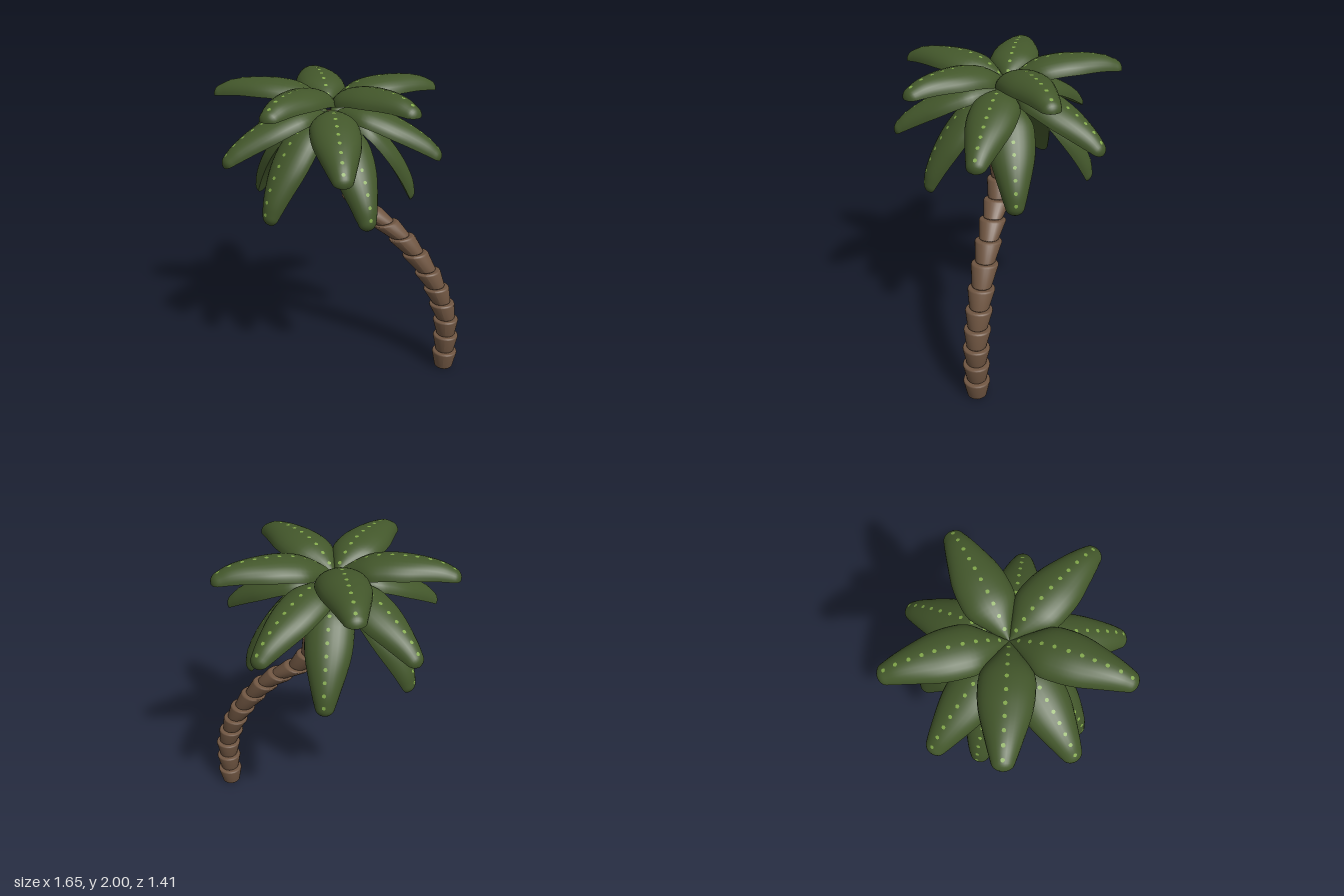
import * as THREE from 'three';

const bark = new THREE.MeshStandardMaterial({ color: 0x705642 });
bark.name = 'bark brown';
const green = new THREE.MeshStandardMaterial({ color: 0x43572b });
green.name = 'leaf green';
const lime = new THREE.MeshStandardMaterial({ color: 0x80a648 });
lime.name = 'spot lime';

const AXIS_Z = -0.008;
const v2 = ([x, y]) => new THREE.Vector2(x, y);

// Centres of the trunk joints, from the ground up
const joints = [
  [0.735, 0], [0.737, 0.13], [0.737, 0.26], [0.73, 0.385], [0.695, 0.505], [0.65, 0.62],
  [0.585, 0.735], [0.495, 0.86], [0.4, 0.97], [0.29, 1.063], [0.17, 1.145], [0.08, 1.255],
  [0.037, 1.385], [-0.015, 1.505], [-0.05, 1.63], [-0.075, 1.79],
].map(v2);

// Rim tilt follows a share of the trunk's lean
function rimTilt(i) {
  const a = joints[Math.max(i - 1, 0)], b = joints[Math.min(i + 1, joints.length - 1)];
  return 0.25 * Math.atan2(a.x - b.x, b.y - a.y);
}

// Flared ring profile with softened rims
const ringProfile = [
  [0, 0], [0.056, 0], [0.063, 0.06], [0.075, 0.5], [0.086, 0.9], [0.084, 0.97], [0.077, 1], [0, 1],
].map(v2);

// One trunk ring, sheared between two joints
function trunkSegment(i) {
  const geo = new THREE.LatheGeometry(ringProfile, 24);
  const pos = geo.attributes.position;
  for (let k = 0; k < pos.count; k++) {
    const t = pos.getY(k), x = pos.getX(k);
    const c = joints[i].clone().lerp(joints[i + 1], t);
    const tilt = THREE.MathUtils.lerp(rimTilt(i), rimTilt(i + 1), t);
    pos.setXY(k, c.x + x * Math.cos(tilt), c.y + x * Math.sin(tilt));
  }
  geo.computeVertexNormals();
  const mesh = new THREE.Mesh(geo, bark);
  mesh.name = 'trunkSegment';
  return mesh;
}

// Half width and thickness along a leaf
const section = new THREE.SplineCurve([
  [0.01, 0.02], [0.078, 0.065], [0.148, 0.095], [0.158, 0.1], [0.147, 0.1],
  [0.118, 0.094], [0.085, 0.078], [0.053, 0.045],
].map(v2));

// Position, upward normal and size of a leaf at t
function leafFrame(path, t) {
  const p = path.getPointAt(t), d = path.getTangentAt(t);
  const s = section.getPoint(t);
  const round = t > 0.95 ? Math.sqrt(Math.max(0, 1 - ((t - 0.95) / 0.05) ** 2)) : 1;
  return { p, n: new THREE.Vector2(-d.y, d.x), w: s.x * round, h: s.y * round };
}

// Leaf body: domed top with a flat underside
function leafGeometry(path, breadth) {
  const rows = 36, cols = 14, pts = [], idx = [];
  const stations = [];
  for (let i = 0; i <= rows; i++) stations.push(1 - (1 - i / rows) ** 1.5);
  const surface = (m, point) => {
    const base = pts.length / 3;
    stations.forEach((t, i) => {
      const f = leafFrame(path, t);
      for (let j = 0; j <= m; j++) {
        const [z, up] = point(j / m);
        pts.push(f.p.x + f.n.x * f.h * up, f.p.y + f.n.y * f.h * up, z * f.w * breadth);
        if (i < rows && j < m) {
          const a = base + i * (m + 1) + j, b = a + m + 1;
          idx.push(a, b, a + 1, b, b + 1, a + 1);
        }
      }
    });
  };
  surface(cols, (u) => [Math.cos(u * Math.PI), Math.sin(u * Math.PI)]);
  surface(2, (u) => [2 * u - 1, 0]);
  const geo = new THREE.BufferGeometry();
  geo.setAttribute('position', new THREE.Float32BufferAttribute(pts, 3));
  geo.setIndex(idx);
  geo.computeVertexNormals();
  return geo;
}

const spotGeo = new THREE.CircleGeometry(0.012, 8);

// Whole leaf with a row of spots along its ridge
function makeLeaf(path, geo, angle) {
  const leaf = new THREE.Group();
  leaf.name = 'leaf';
  const body = new THREE.Mesh(geo, green);
  body.name = 'leafBody';
  leaf.add(body);
  const ridge = (u) => {
    const f = leafFrame(path, u);
    return f.p.clone().addScaledVector(f.n, f.h);
  };
  for (let k = 0; k < 10; k++) {
    const t = 0.1 + k * 0.092;
    const p = ridge(t), d = ridge(t + 0.01).sub(ridge(t - 0.01)).normalize();
    const spot = new THREE.Mesh(spotGeo, lime);
    spot.name = 'leafSpot';
    spot.position.set(p.x - d.y * 0.0008, p.y + d.x * 0.0008, 0);
    spot.quaternion.setFromUnitVectors(
      new THREE.Vector3(0, 0, 1), new THREE.Vector3(-d.y, d.x, 0));
    leaf.add(spot);
  }
  leaf.position.set(-0.08, 0, AXIS_Z);
  leaf.rotation.y = -THREE.MathUtils.degToRad(angle);
  return leaf;
}

// Underside paths (distance from crown, height), headings and breadth of the tiers
const tiers = [
  { name: 'upperLeaves', angles: [37, 106, 177, 246.5, 327], breadth: 1,
    path: [[0, 1.82], [0.12, 1.858], [0.3, 1.895], [0.45, 1.902], [0.6, 1.9], [0.748, 1.882]] },
  { name: 'middleLeaves', angles: [1.5, 72, 142.5, 213, 293.5], breadth: 0.98,
    path: [[0, 1.765], [0.15, 1.76], [0.3, 1.722], [0.45, 1.658], [0.6, 1.583], [0.715, 1.52]] },
  { name: 'lowerLeaves', angles: [53, 122, 195, 261, 341], breadth: 0.93,
    path: [[0.03, 1.75], [0.14, 1.705], [0.25, 1.615], [0.36, 1.482], [0.463, 1.325], [0.542, 1.175]] },
];

export function createModel() {
  const model = new THREE.Group();
  model.name = 'palmTree';

  const trunk = new THREE.Group();
  trunk.name = 'trunk';
  for (let i = 0; i < joints.length - 1; i++) trunk.add(trunkSegment(i));
  trunk.position.z = AXIS_Z;
  model.add(trunk);

  for (const { name, angles, breadth, path } of tiers) {
    const tier = new THREE.Group();
    tier.name = name;
    const curve = new THREE.SplineCurve(path.map(v2));
    const geo = leafGeometry(curve, breadth);
    for (const angle of angles) tier.add(makeLeaf(curve, geo, angle));
    model.add(tier);
  }
  return model;
}
